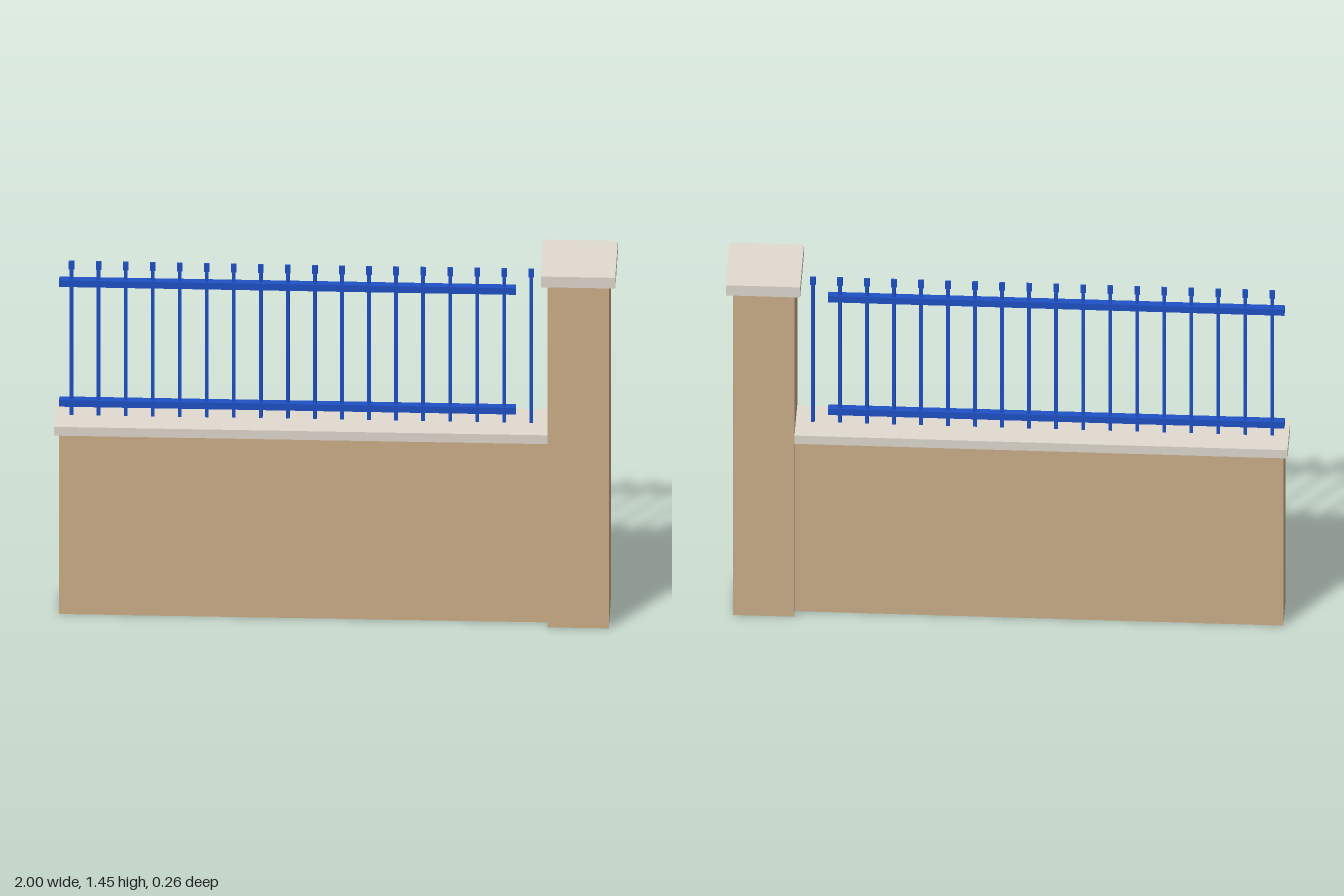
import * as THREE from 'three';

const material = (name, color) => {
  const m = new THREE.MeshStandardMaterial({ color });
  m.name = name;
  return m;
};

export function createModel() {
  const model = new THREE.Group();
  model.name = 'wallWithRailing';
  const render = material('tanRender', 0xcfb28b);
  const stone = material('paleStone', 0xe2dbd1);
  const paint = material('bluePaint', 0x1f52c8);

  // Box given by its x and y extents and its depth, centred on z = 0
  const block = (name, x0, x1, y0, y1, depth, mat, parent = model) => {
    const mesh = new THREE.Mesh(new THREE.BoxGeometry(x1 - x0, y1 - y0, depth), mat);
    mesh.position.set((x0 + x1) / 2, (y0 + y1) / 2, 0);
    mesh.name = name;
    parent.add(mesh);
  };

  // Masonry
  block('wall', -0.984, 0.757, 0, 0.742, 0.15, render);
  block('coping', -1, 0.757, 0.742, 0.778, 0.188, stone);
  block('pillar', 0.757, 0.976, 0, 1.407, 0.22, render);
  block('pillarCap', 0.735, 1, 1.407, 1.451, 0.265, stone);

  // Horizontal rails
  const railing = new THREE.Group();
  railing.name = 'railing';
  model.add(railing);
  block('lowerRail', -0.985, 0.642, 0.815, 0.842, 0.027, paint, railing);
  block('upperRail', -0.985, 0.642, 1.306, 1.333, 0.027, paint, railing);

  // Pickets with flattened tips
  for (let i = 0; i < 18; i++) {
    const x = -0.941 + i * 0.0963;
    block('picket', x - 0.0065, x + 0.0065, 0.778, 1.372, 0.013, paint, railing);
    block('picketTip', x - 0.01, x + 0.01, 1.372, 1.405, 0.007, paint, railing);
  }
  return model;
}
